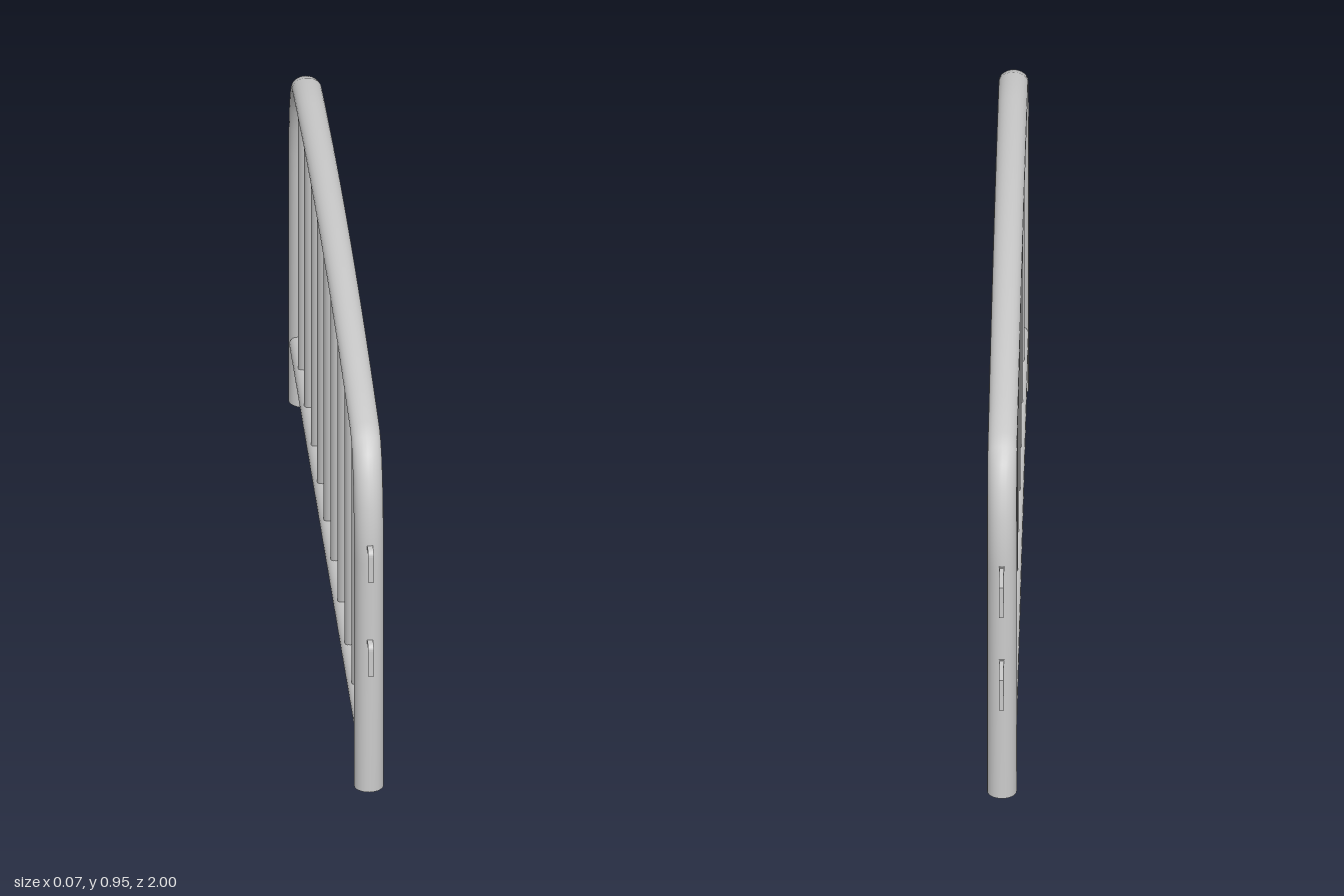
import * as THREE from 'three';

const SIDES = 24;
const HALF_X = 0.034; // half width of frame and rails
const MID_Z = 0.031; // middle of the frame between its legs

// Oval tube along [z, y, radius] points in the x = 0 plane, capped at both ends
function ovalTube(path) {
  const pos = [], index = [];
  const rings = path.map(([z, y, r], i) => {
    const a = path[Math.max(i - 1, 0)], b = path[Math.min(i + 1, path.length - 1)];
    const t = new THREE.Vector2(b[0] - a[0], b[1] - a[1]).normalize();
    return Array.from({ length: SIDES }, (_, j) => {
      const u = (j / SIDES) * Math.PI * 2, s = Math.sin(u) * r;
      return [HALF_X * Math.cos(u), y + t.x * s, z - t.y * s];
    });
  });
  rings.forEach((ring) => ring.forEach((p) => pos.push(...p)));
  for (let i = 0; i < rings.length - 1; i++) {
    for (let j = 0; j < SIDES; j++) {
      const k = (j + 1) % SIDES, a = i * SIDES, b = a + SIDES;
      index.push(a + j, a + k, b + k, a + j, b + k, b + j);
    }
  }
  [0, rings.length - 1].forEach((i) => {
    const base = pos.length / 3;
    rings[i].forEach((p) => pos.push(...p));
    for (let j = 1; j < SIDES - 1; j++) {
      if (i === 0) index.push(base, base + j + 1, base + j);
      else index.push(base, base + j, base + j + 1);
    }
  });
  const geo = new THREE.BufferGeometry();
  geo.setAttribute('position', new THREE.Float32BufferAttribute(pos, 3));
  geo.setIndex(index);
  geo.computeVertexNormals();
  return geo;
}

// Height of the bowed top rail's centre line, by distance from the middle
const railY = (d) => 0.921 - 0.046 * Math.pow(Math.abs(d) / 0.806, 2);

export function createModel() {
  const group = new THREE.Group();
  group.name = 'crowdBarrier';
  const material = new THREE.MeshStandardMaterial({ color: 0xcccccc });
  const add = (name, geo, x = 0, y = 0, z = 0) => {
    const mesh = new THREE.Mesh(geo, material);
    mesh.name = name;
    mesh.position.set(x, y, z);
    group.add(mesh);
    return mesh;
  };

  // Frame: leg, bent corner, bowed rail, then the mirrored corner and leg
  const corner = [
    [0.907, 0, 0.034], [0.907, 0.6, 0.034], [0.906, 0.66, 0.034], [0.898, 0.73, 0.033],
    [0.883, 0.79, 0.031], [0.859, 0.838, 0.029], [0.835, 0.862, 0.027],
  ];
  const rail = [];
  for (let i = 0; i <= 12; i++) {
    const d = 0.806 * (1 - i / 6);
    rail.push([d, railY(d), 0.026]);
  }
  const mirrored = corner.map(([d, y, r]) => [-d, y, r]).reverse();
  const framePath = [...corner, ...rail, ...mirrored].map(([d, y, r]) => [d + MID_Z, y, r]);
  add('frame', ovalTube(framePath));

  // Lower rail between the legs
  add('lowerRail', ovalTube([[0.915, 0.16, 0.026], [-0.855, 0.16, 0.026]]));

  // Upright bars
  [0.77, 0.583, 0.382, 0.187, 0, -0.176, -0.353, -0.535, -0.713].forEach((z) => {
    const bottom = 0.16, top = railY(z - MID_Z);
    const geo = new THREE.CylinderGeometry(0.026, 0.026, top - bottom, 20);
    add('uprightBar', geo, 0, (top + bottom) / 2, z);
  });

  // Hook profile, drawn with its first axis along the barrier
  const hook = new THREE.Shape();
  hook.moveTo(0.96, 0.08);
  hook.lineTo(0.985, 0.08);
  hook.quadraticCurveTo(1, 0.08, 1, 0.064);
  hook.lineTo(1, 0);
  hook.lineTo(0.991, 0);
  hook.lineTo(0.991, 0.062);
  hook.quadraticCurveTo(0.991, 0.071, 0.982, 0.071);
  hook.lineTo(0.96, 0.071);
  hook.closePath();
  const hookGeo = new THREE.ExtrudeGeometry(hook, { depth: 0.013, bevelEnabled: false, curveSegments: 6 });
  hookGeo.translate(0, 0, -0.0065);
  hookGeo.rotateY(-Math.PI / 2);

  // Hooks on the front leg, receiving plates on the back leg
  [0.32, 0.567].forEach((y) => {
    add('hook', hookGeo, 0, y, 0);
    add('plate', new THREE.BoxGeometry(0.01, 0.08, 0.1), 0, y + 0.007, -0.95);
    add('plateWeld', new THREE.BoxGeometry(0.012, 0.09, 0.012), 0, y + 0.005, -0.906);
  });

  return group;
}
